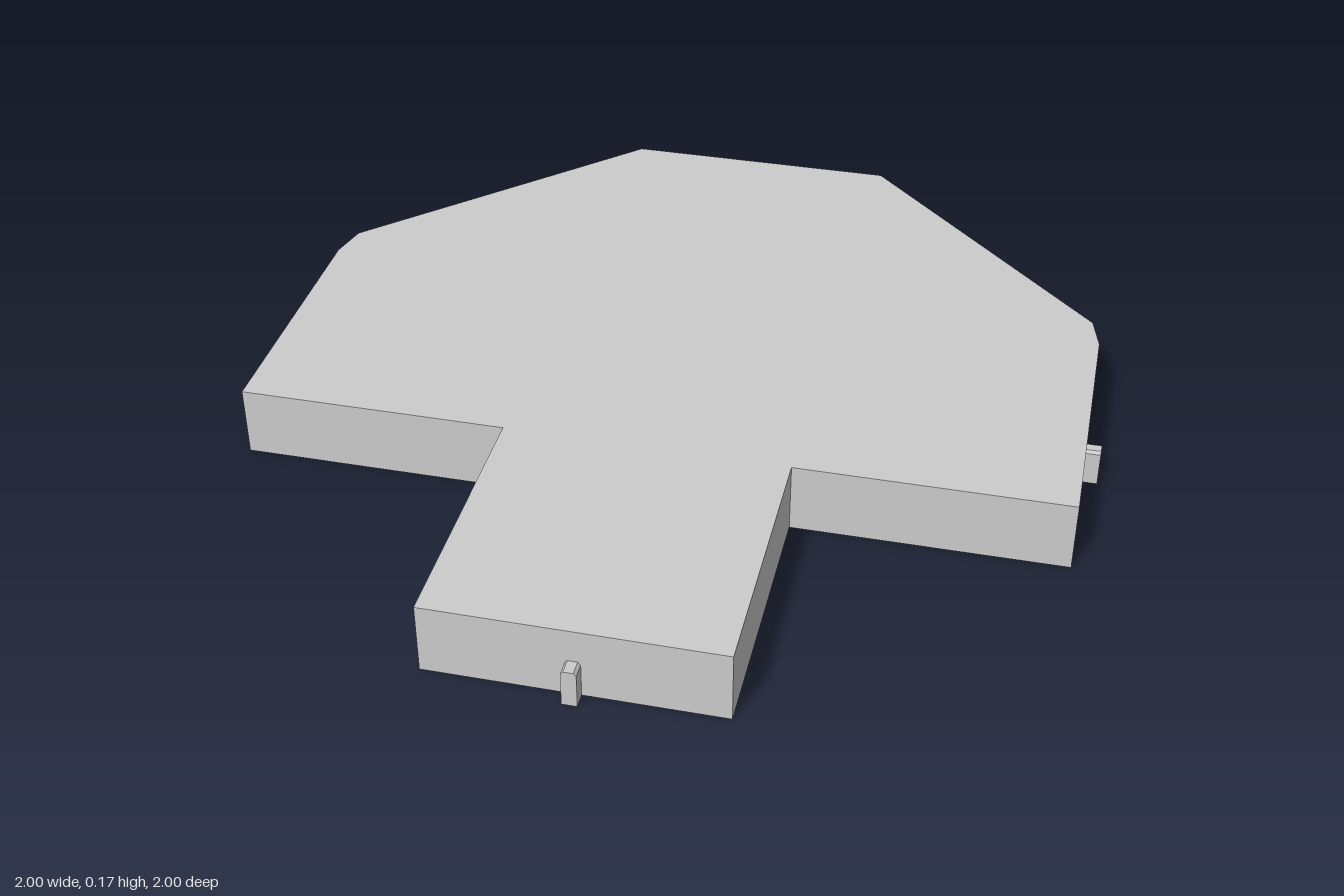
import * as THREE from 'three';

const material = new THREE.MeshStandardMaterial({ color: 0xcccccc, flatShading: true });

const toPoints = (list) => list.map(([x, y]) => new THREE.Vector2(x, y));

// Upright peg outline with chamfered top corners, inset by t
const pegOutline = (t = 0) => toPoints([
  [-0.017 + t, t], [0.017 - t, t], [0.017 - t, 0.083 - t],
  [0.011 - t / 2, 0.09 - t], [-0.011 + t / 2, 0.09 - t], [-0.017 + t, 0.083 - t],
]);

function makePeg(name, angle, hollow) {
  const shape = new THREE.Shape(pegOutline());
  if (hollow) shape.holes.push(new THREE.Path(pegOutline(0.005)));
  const geometry = new THREE.ExtrudeGeometry(shape, { depth: 0.036, bevelEnabled: false });
  geometry.translate(0, 0, 0.964);
  geometry.rotateY(angle);
  const peg = new THREE.Mesh(geometry, material);
  peg.name = name;
  return peg;
}

export function createModel() {
  const group = new THREE.Group();
  group.name = 'floorTile';

  // Half outline of the slab as (x, z), from front to back, then mirrored
  const half = [
    [0.333, 0.965], [0.333, 0.333], [0.965, 0.333],
    [0.965, -0.31], [0.943, -0.4], [0.333, -1],
  ];
  const outline = [...half, ...half.map(([x, z]) => [-x, z]).reverse()];
  const shape = new THREE.Shape(toPoints(outline.map(([x, z]) => [x, -z])));
  const slabGeometry = new THREE.ExtrudeGeometry(shape, { depth: 0.17, bevelEnabled: false });
  slabGeometry.rotateX(-Math.PI / 2);
  const slab = new THREE.Mesh(slabGeometry, material);
  slab.name = 'slab';
  group.add(slab);

  // Connector pegs on the three straight edges; the left one is an open sleeve
  group.add(
    makePeg('frontPeg', 0, false),
    makePeg('leftPeg', Math.PI / 2, true),
    makePeg('rightPeg', -Math.PI / 2, false),
  );
  return group;
}
